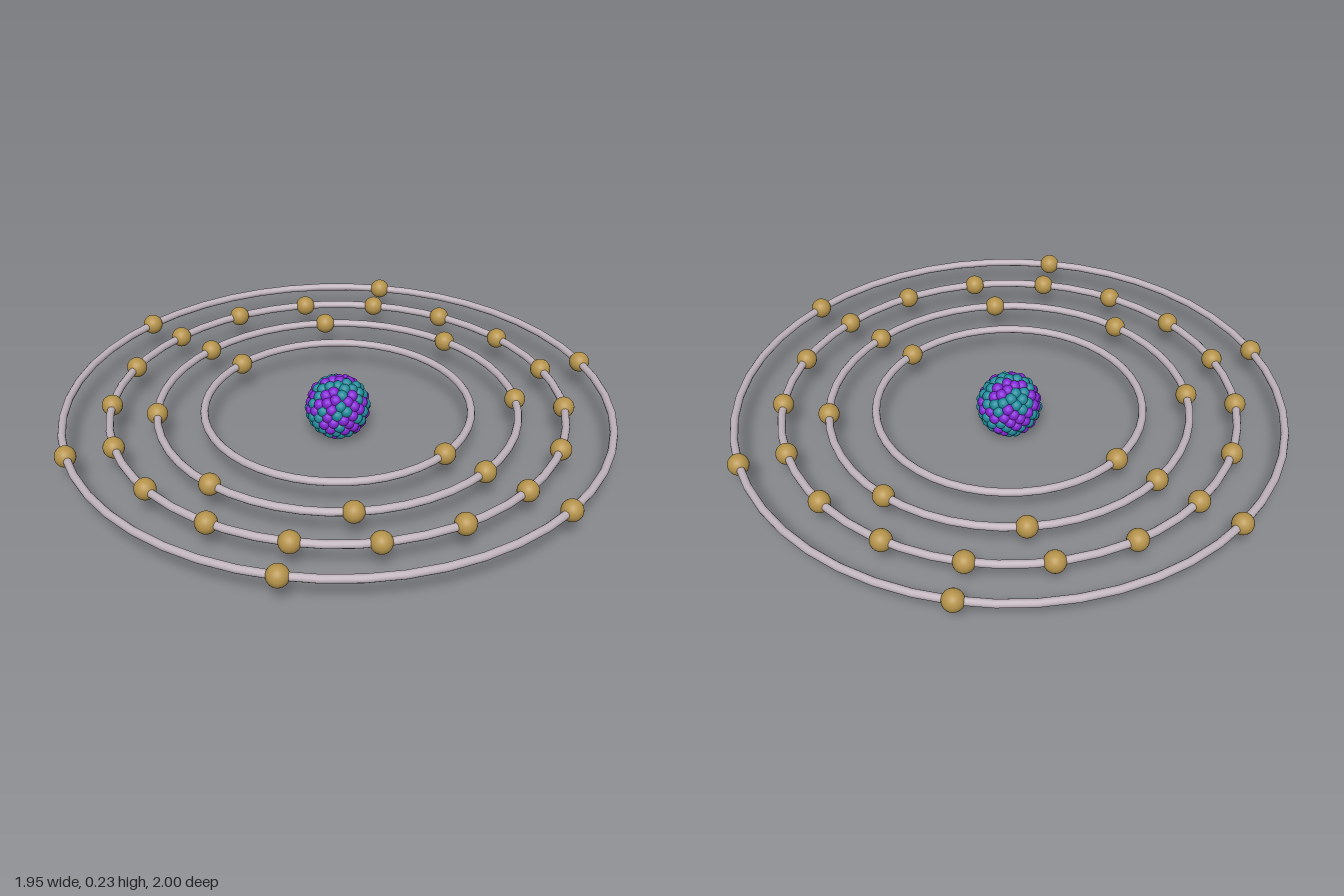
import * as THREE from 'three';

const CENTER_Y = 0.118;
const SHELLS = [
  { radius: 0.471, electrons: 2 },
  { radius: 0.635, electrons: 8 },
  { radius: 0.8, electrons: 18 },
  { radius: 0.963, electrons: 6 },
];

// Small seeded generator for the particle mix
function seeded(seed) {
  return () => {
    seed = (seed * 16807) % 2147483647;
    return seed / 2147483647;
  };
}

function addMesh(parent, name, geometry, material) {
  const mesh = new THREE.Mesh(geometry, material);
  mesh.name = name;
  parent.add(mesh);
  return mesh;
}

// Ball cluster: particles spread evenly over a sphere by the golden angle
function createNucleus() {
  const nucleus = new THREE.Group();
  nucleus.name = 'nucleus';
  const protonMaterial = new THREE.MeshStandardMaterial({ color: 0x8426d6 });
  const neutronMaterial = new THREE.MeshStandardMaterial({ color: 0x1f8c9c });
  const ball = new THREE.SphereGeometry(0.0205, 14, 10);
  const random = seeded(79);
  const count = 140;
  const golden = Math.PI * (3 - Math.sqrt(5));
  for (let i = 0; i < count; i++) {
    const y = 1 - (2 * (i + 0.5)) / count;
    const ring = Math.sqrt(1 - y * y);
    const isProton = random() < 0.48;
    const mesh = addMesh(nucleus, isProton ? 'proton' : 'neutron', ball,
      isProton ? protonMaterial : neutronMaterial);
    mesh.position
      .set(ring * Math.cos(i * golden), y, ring * Math.sin(i * golden))
      .multiplyScalar(0.094 + 0.004 * random());
  }
  // Inner fill behind the outer particles
  addMesh(nucleus, 'core', new THREE.SphereGeometry(0.093, 24, 16), neutronMaterial);
  return nucleus;
}

export function createModel() {
  const model = new THREE.Group();
  model.name = 'atom';
  const nucleus = createNucleus();
  nucleus.position.y = CENTER_Y;
  model.add(nucleus);

  const orbitMaterial = new THREE.MeshStandardMaterial({ color: 0xbfb3bb });
  const electronMaterial = new THREE.MeshStandardMaterial({ color: 0xb5934b });
  const electronGeometry = new THREE.SphereGeometry(0.037, 24, 16);

  // Flat concentric orbits, each with evenly spaced electrons
  SHELLS.forEach(({ radius, electrons }, index) => {
    const shell = new THREE.Group();
    shell.name = `shell${index + 1}`;
    shell.position.y = CENTER_Y;
    const orbit = addMesh(shell, 'orbit',
      new THREE.TorusGeometry(radius, 0.014, 12, 48), orbitMaterial);
    orbit.rotation.x = Math.PI / 2;
    for (let i = 0; i < electrons; i++) {
      const angle = (i / electrons) * Math.PI * 2;
      const electron = addMesh(shell, 'electron', electronGeometry, electronMaterial);
      electron.position.set(Math.sin(angle) * radius, 0, Math.cos(angle) * radius);
    }
    model.add(shell);
  });
  return model;
}
